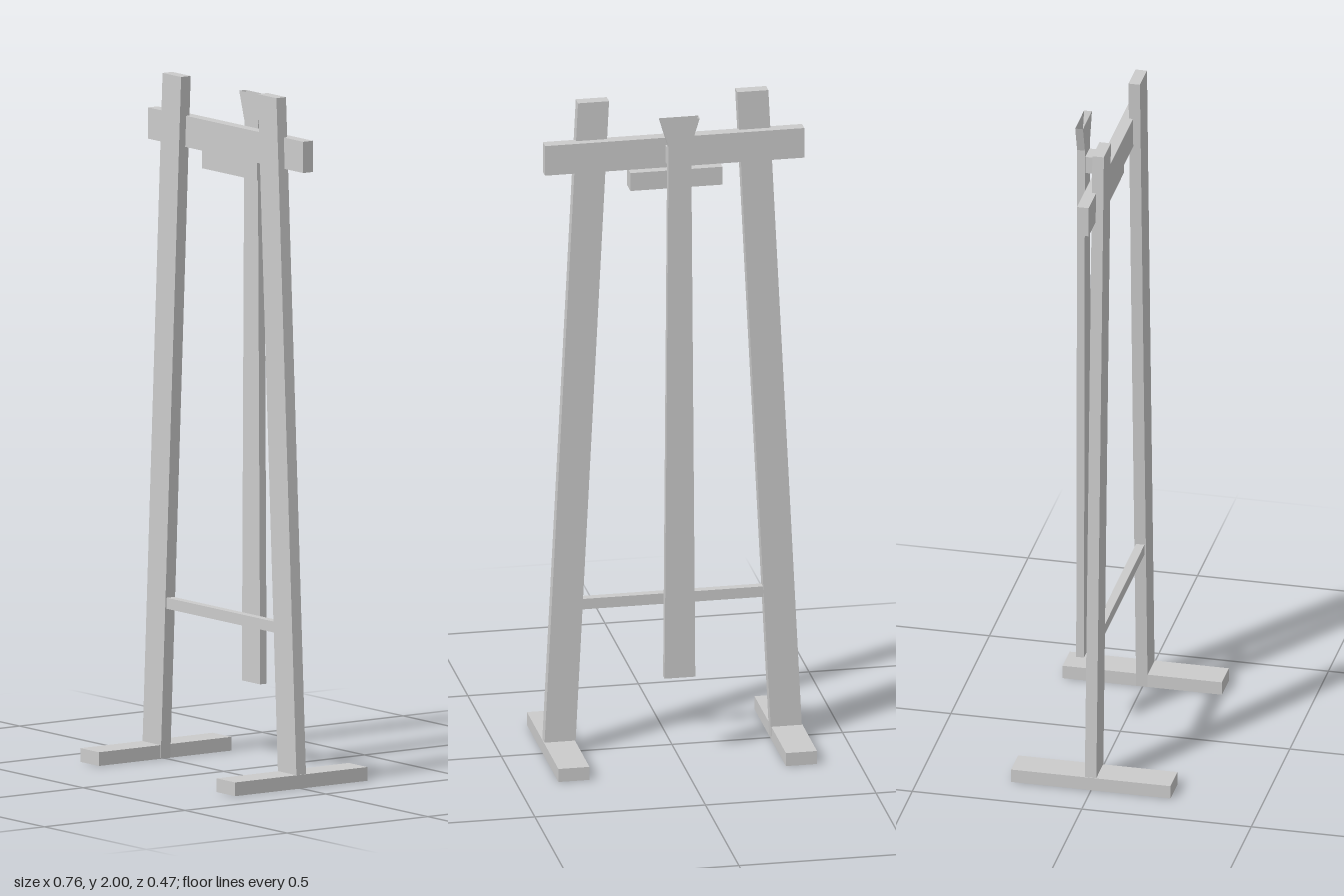
import * as THREE from 'three';

export function createModel() {
  const group = new THREE.Group();
  const wood = new THREE.MeshStandardMaterial({ color: 0xcccccc, flatShading: true });
  const openWood = wood.clone();
  openWood.side = THREE.DoubleSide;

  const add = (name, geometry, material = wood) => {
    const mesh = new THREE.Mesh(geometry, material);
    mesh.name = name;
    group.add(mesh);
  };

  // Box given by its limits on each axis
  const board = (name, [x0, x1], [y0, y1], [z0, z1]) => {
    const g = new THREE.BoxGeometry(x1 - x0, y1 - y0, z1 - z0);
    g.translate((x0 + x1) / 2, (y0 + y1) / 2, (z0 + z1) / 2);
    add(name, g);
  };

  // Feet and leaning legs, mirrored
  for (const s of [1, -1]) {
    const side = s > 0 ? 'left' : 'right';
    const xs = [0.288 * s, 0.379 * s].sort((a, b) => a - b);
    board(side + 'Foot', xs, [0, 0.04], [-0.236, 0.234]);

    const leg = new THREE.BoxGeometry(0.091, 2, 0.034);
    leg.translate(0, 1, -0.002);
    const p = leg.attributes.position;
    for (let i = 0; i < p.count; i++) {
      p.setX(i, p.getX(i) + s * (0.3335 - 0.05 * p.getY(i)));
    }
    leg.computeVertexNormals();
    add(side + 'Leg', leg);
  }

  // Cross pieces and pendulum support
  board('topBeam', [-0.38, 0.38], [1.793, 1.884], [-0.041, -0.007]);
  board('stretcher', [-0.27, 0.27], [0.44, 0.472], [-0.014, 0.011]);
  board('underBlock', [-0.135, 0.135], [1.738, 1.793], [-0.068, -0.02]);
  board('hanger', [-0.027, 0.027], [1.81, 1.862], [-0.097, -0.03]);

  // Pendulum: tapered rectangular sleeve with flared top, open at both ends
  const sections = [[0.25, 0.045], [1.885, 0.033], [1.967, 0.058]];
  const positions = [];
  const ring = ([y, w]) => [[-w, y, -0.097], [w, y, -0.097], [w, y, -0.12], [-w, y, -0.12]];
  for (let k = 0; k < sections.length - 1; k++) {
    const lower = ring(sections[k]);
    const upper = ring(sections[k + 1]);
    for (let i = 0; i < 4; i++) {
      const j = (i + 1) % 4;
      positions.push(...lower[i], ...lower[j], ...upper[j], ...lower[i], ...upper[j], ...upper[i]);
    }
  }
  const pendulum = new THREE.BufferGeometry();
  pendulum.setAttribute('position', new THREE.Float32BufferAttribute(positions, 3));
  pendulum.computeVertexNormals();
  add('pendulum', pendulum, openWood);

  return group;
}
